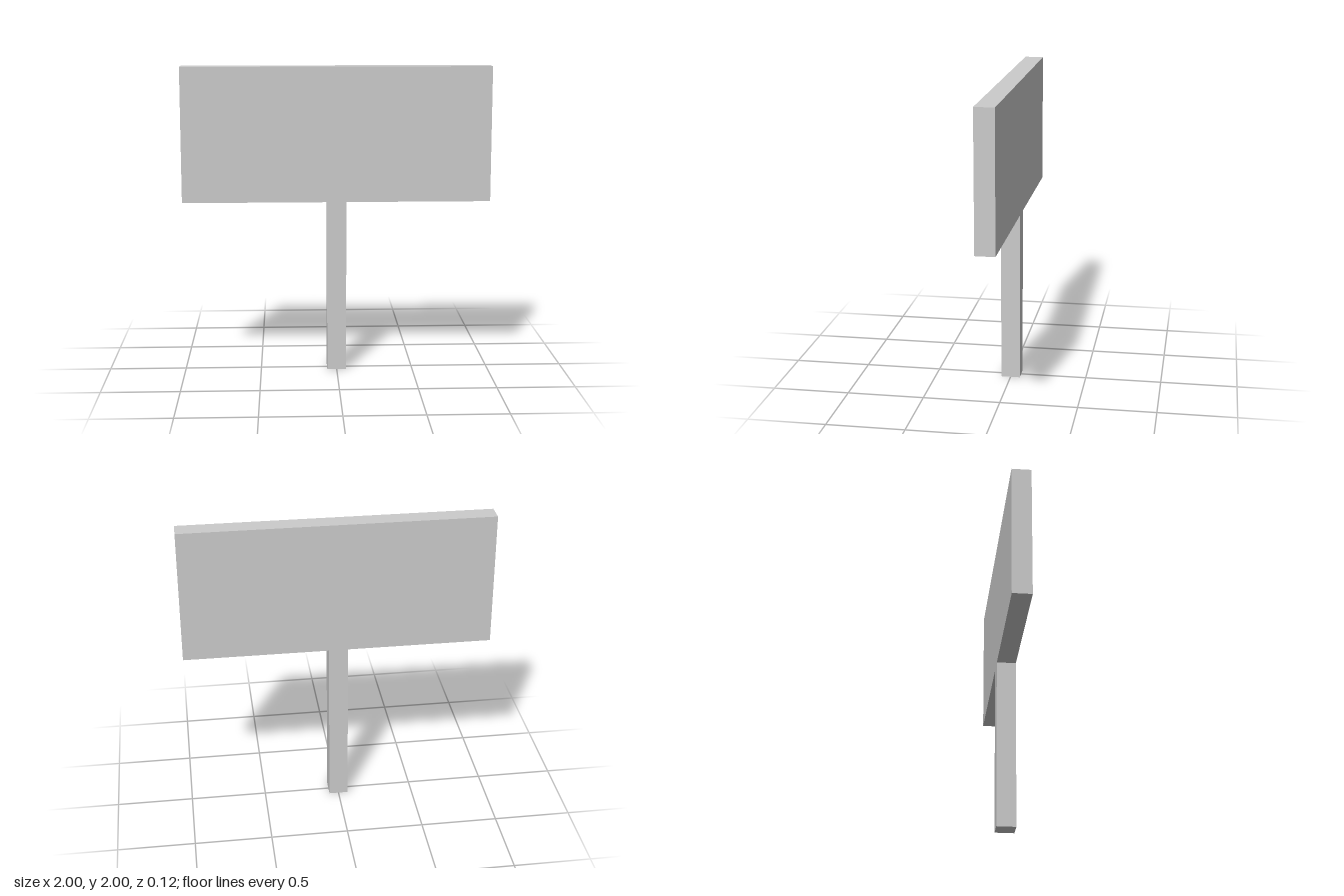
import * as THREE from 'three';

const THICKNESS = 0.125;
const HEIGHT = 2;
const BOARD_WIDTH = 2;
const BOARD_BOTTOM = 1.125;

export function createModel() {
  const model = new THREE.Group();
  model.name = 'signpost';
  const material = new THREE.MeshStandardMaterial({ color: 0xcccccc, flatShading: true });

  // Box standing between two heights, centred on the y axis
  const addBox = (name, width, bottom, top) => {
    const mesh = new THREE.Mesh(new THREE.BoxGeometry(width, top - bottom, THICKNESS), material);
    mesh.name = name;
    mesh.position.y = (bottom + top) / 2;
    model.add(mesh);
  };

  // Square post carrying the wide sign board
  addBox('post', THICKNESS, 0, BOARD_BOTTOM);
  addBox('signBoard', BOARD_WIDTH, BOARD_BOTTOM, HEIGHT);

  return model;
}
